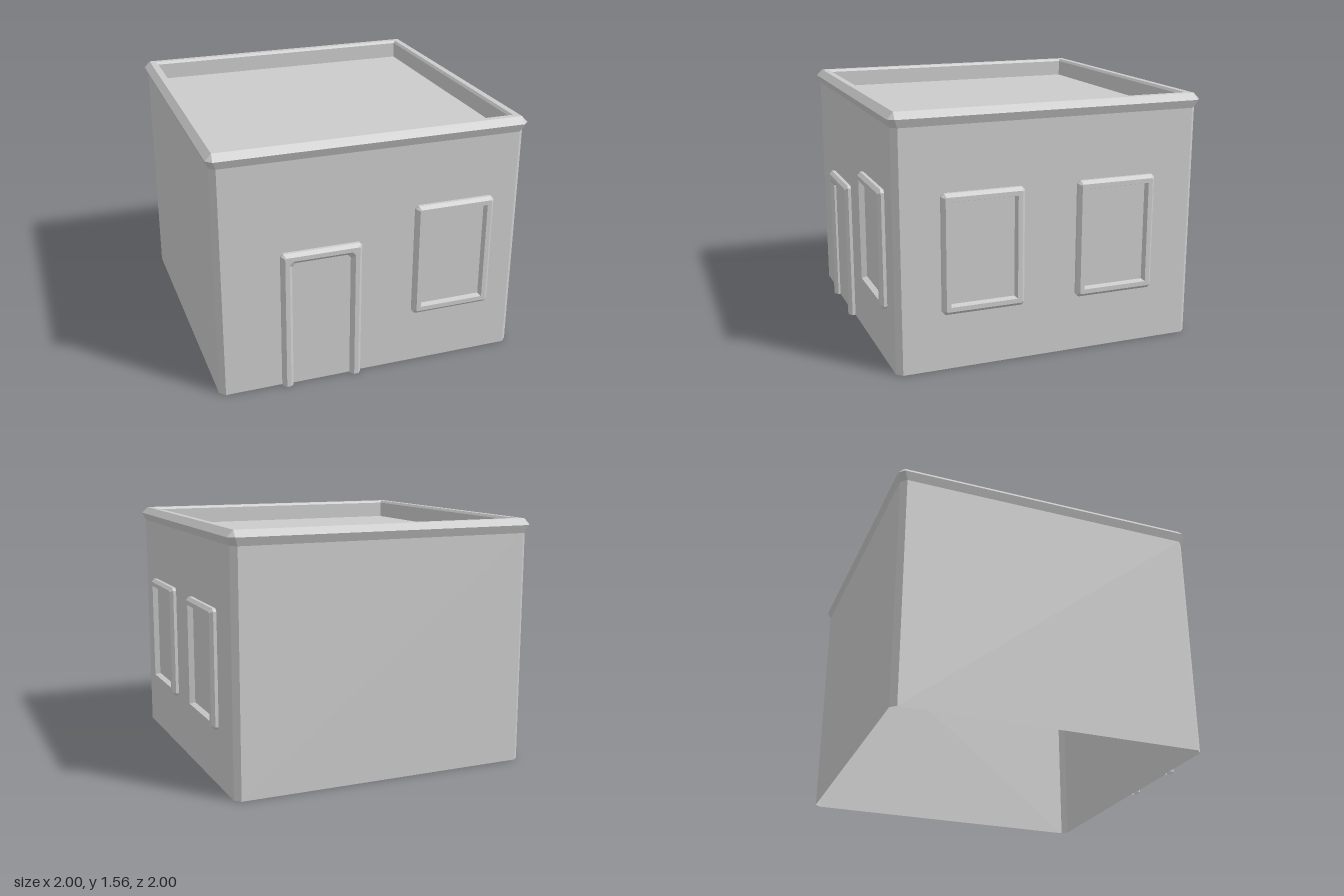
import * as THREE from 'three';

const material = new THREE.MeshStandardMaterial({
  color: 0xcccccc, flatShading: true, side: THREE.DoubleSide,
});

// Rectangle with cut corners, anticlockwise in the XY plane, at height z.
function cutRect(x0, x1, y0, y1, c, z) {
  return [
    [x0 + c, y0], [x1 - c, y0], [x1, y0 + c], [x1, y1 - c],
    [x1 - c, y1], [x0 + c, y1], [x0, y1 - c], [x0, y0 + c],
  ].map(([x, y]) => new THREE.Vector3(x, y, z));
}

// Doorway outline: open at the ground, cut at the upper corners.
function archRect(x0, x1, top, c, z) {
  return [
    [x1, 0], [x1, top - c], [x1 - c, top],
    [x0 + c, top], [x0, top - c], [x0, 0],
  ].map(([x, y]) => new THREE.Vector3(x, y, z));
}

// Faceted surface through matching outlines.
function loft(rings, closed) {
  const points = [];
  for (let r = 0; r < rings.length - 1; r++) {
    const a = rings[r], b = rings[r + 1], n = a.length;
    for (let i = 0; i < (closed ? n : n - 1); i++) {
      const j = (i + 1) % n;
      if (a[i].distanceTo(a[j]) > 1e-6) points.push(a[i], a[j], b[j]);
      if (b[i].distanceTo(b[j]) > 1e-6) points.push(a[i], b[j], b[i]);
    }
  }
  return finish(points);
}

// Flat convex panel filling an outline.
function fill(ring) {
  const points = [];
  for (let i = 1; i < ring.length - 1; i++) points.push(ring[0], ring[i], ring[i + 1]);
  return finish(points);
}

function finish(points) {
  const geometry = new THREE.BufferGeometry().setFromPoints(points);
  geometry.computeVertexNormals();
  return geometry;
}

function addMesh(parent, name, geometry) {
  const mesh = new THREE.Mesh(geometry, material);
  mesh.name = name;
  parent.add(mesh);
  return mesh;
}

// Bevelled window frame with a recessed pane, centred on x = 0.
function makeWindow(name) {
  const group = new THREE.Group();
  group.name = name;
  const ring = (inset, c, z) =>
    cutRect(-0.257 + inset, 0.257 - inset, 0.35 + inset, 1.08 - inset, c, z);
  const paneEdge = ring(0.058, 0, 0.006);
  addMesh(group, 'windowFrame', loft([
    ring(0, 0.018, 0), ring(0, 0.018, 0.02), ring(0.02, 0.006, 0.04),
    ring(0.048, 0, 0.04), paneEdge,
  ], true));
  addMesh(group, 'windowPane', fill(paneEdge));
  return group;
}

// Bevelled door surround with a recessed door, centred on x = 0.
function makeDoor() {
  const group = new THREE.Group();
  group.name = 'door';
  const ring = (inset, c, z) => archRect(-0.252 + inset, 0.252 - inset, 0.9 - inset, c, z);
  const leafEdge = ring(0.067, 0.025, 0.006);
  addMesh(group, 'doorFrame', loft([
    ring(0, 0.015, 0), ring(0, 0.015, 0.02), ring(0.02, 0.006, 0.04),
    ring(0.047, 0.02, 0.04), ring(0.067, 0.025, 0.02), leafEdge,
  ], false));
  addMesh(group, 'doorLeaf', fill(leafEdge));
  return group;
}

export function createModel() {
  const model = new THREE.Group();
  model.name = 'house';
  const centre = -0.01, wall = 0.96;

  // Square outlines stacked upwards, open at the ground
  const level = (half, c, y) => cutRect(-half, half, -half, half, c, y);
  const shell = new THREE.Group();
  shell.name = 'shell';
  shell.rotation.x = -Math.PI / 2;
  shell.position.set(centre, 0, centre);
  model.add(shell);

  const wallTop = level(0.97, 0.035, 1.47);
  const roofEdge = level(0.9, 0, 1.44);
  addMesh(shell, 'walls', loft([level(0.97, 0.035, 0), wallTop], true));
  addMesh(shell, 'parapet', loft([
    wallTop, level(0.99, 0.035, 1.52), level(0.952, 0, 1.56),
    level(0.913, 0, 1.56), level(0.9, 0, 1.545), roofEdge,
  ], true));
  addMesh(shell, 'roof', fill(roofEdge.filter((p, i) => i % 2 === 0)));

  // Front openings
  const door = makeDoor();
  door.position.set(-0.338, 0, wall);
  const frontWindow = makeWindow('frontWindow');
  frontWindow.position.set(0.513, 0, wall);
  model.add(door, frontWindow);

  // Windows on the +x side
  for (const z of [0.428, -0.43]) {
    const sideWindow = makeWindow('sideWindow');
    sideWindow.rotation.y = Math.PI / 2;
    sideWindow.position.set(wall, 0, z);
    model.add(sideWindow);
  }
  return model;
}
